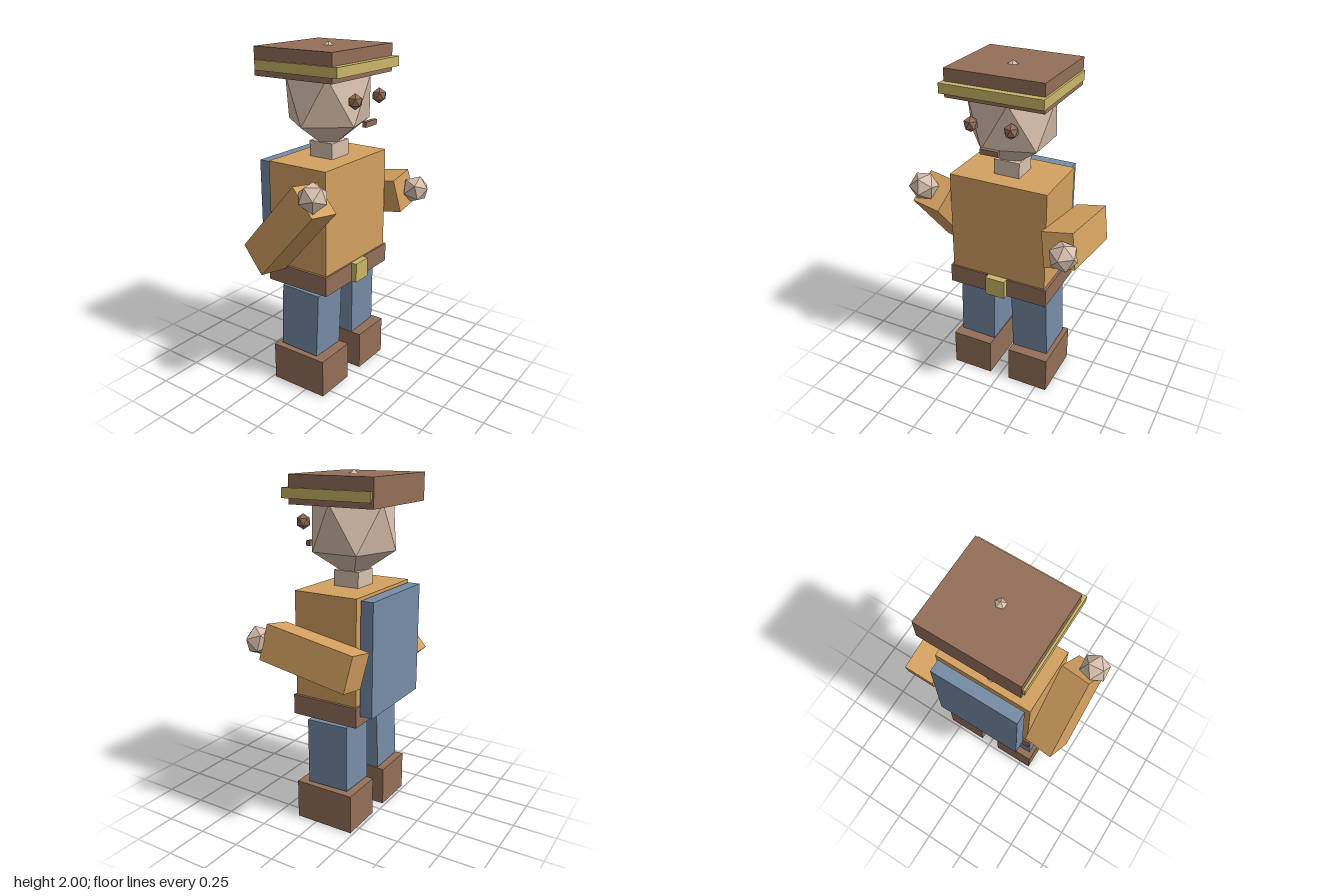
import * as THREE from 'three';

const material = (name, color) => {
  const m = new THREE.MeshStandardMaterial({ color });
  m.name = name;
  return m;
};

export function createModel() {
  const model = new THREE.Group();
  model.name = 'blockyFigure';
  const brown = material('brown', 0x936f59);
  const orange = material('ochre', 0xd4a160);
  const blue = material('denimBlue', 0x768ca6);
  const skin = material('skin', 0xd9c1ae);
  const yellow = material('yellow', 0xcbb768);

  const add = (name, geometry, mat, position, rotation = [0, 0, 0]) => {
    const mesh = new THREE.Mesh(geometry, mat);
    mesh.name = name;
    mesh.position.set(...position);
    mesh.rotation.set(...rotation);
    model.add(mesh);
    return mesh;
  };

  // Box given by its extents on each axis
  const block = (name, mat, [x0, x1], [y0, y1], [z0, z1]) =>
    add(name, new THREE.BoxGeometry(x1 - x0, y1 - y0, z1 - z0), mat,
      [(x0 + x1) / 2, (y0 + y1) / 2, (z0 + z1) / 2]);

  // Icosahedron standing on a vertex, stretched to its radii
  const gem = (rx, ry, rz) =>
    new THREE.IcosahedronGeometry(1).rotateZ(-0.5536).scale(rx, ry, rz);

  // Body
  block('torso', orange, [-0.295, 0.295], [0.77, 1.37], [-0.25, 0.138]);
  block('belt', brown, [-0.31, 0.31], [0.655, 0.77], [-0.26, 0.148]);
  block('buckle', yellow, [-0.06, 0.06], [0.655, 0.77], [0.14, 0.18]);
  block('backpack', blue, [-0.27, 0.27], [0.712, 1.357], [-0.336, -0.262]);
  block('neck', skin, [-0.078, 0.078], [1.36, 1.46], [-0.132, 0.024]);

  // Head and face
  add('head', gem(0.282, 0.297, 0.262), skin, [0, 1.703, -0.055]);
  block('mouth', brown, [-0.052, 0.052], [1.572, 1.602], [0.203, 0.228]);

  // Hat
  block('hat', brown, [-0.284, 0.284], [1.825, 1.98], [-0.338, 0.174]);
  block('hatBand', yellow, [-0.296, 0.296], [1.856, 1.911], [-0.327, 0.212]);

  // Eyes, legs and boots on both sides
  for (const s of [-1, 1]) {
    const side = s > 0 ? 'left' : 'right';
    add(side + 'Eye', gem(0.042, 0.044, 0.042), brown, [s * 0.116, 1.717, 0.2]);
    add(side + 'Leg', new THREE.BoxGeometry(0.228, 0.385, 0.257), blue,
      [s * 0.175, 0.43, -0.06], [0.025, 0, s * 0.028]);
    block(side + 'Boot', brown, [s * 0.192 - 0.128, s * 0.192 + 0.128], [0, 0.232], [-0.233, 0.127]);
  }

  // Arms raised to different heights, each ending in a faceted hand
  const arm = new THREE.BoxGeometry(0.18, 0.204, 0.54);
  const hand = gem(0.085, 0.085, 0.085).rotateX(Math.PI / 2);
  const leftTilt = [-0.168, 0, 0.17];
  const rightTilt = [-0.85, 0, -0.17];
  add('leftArm', arm, orange, [0.4, 1.056, -0.05], leftTilt);
  add('leftHand', hand, skin, [0.45, 1.107, 0.264], leftTilt);
  add('rightArm', arm, orange, [-0.4, 1.043, -0.033], rightTilt);
  add('rightHand', hand, skin, [-0.45, 1.277, 0.172], rightTilt);

  return model;
}
